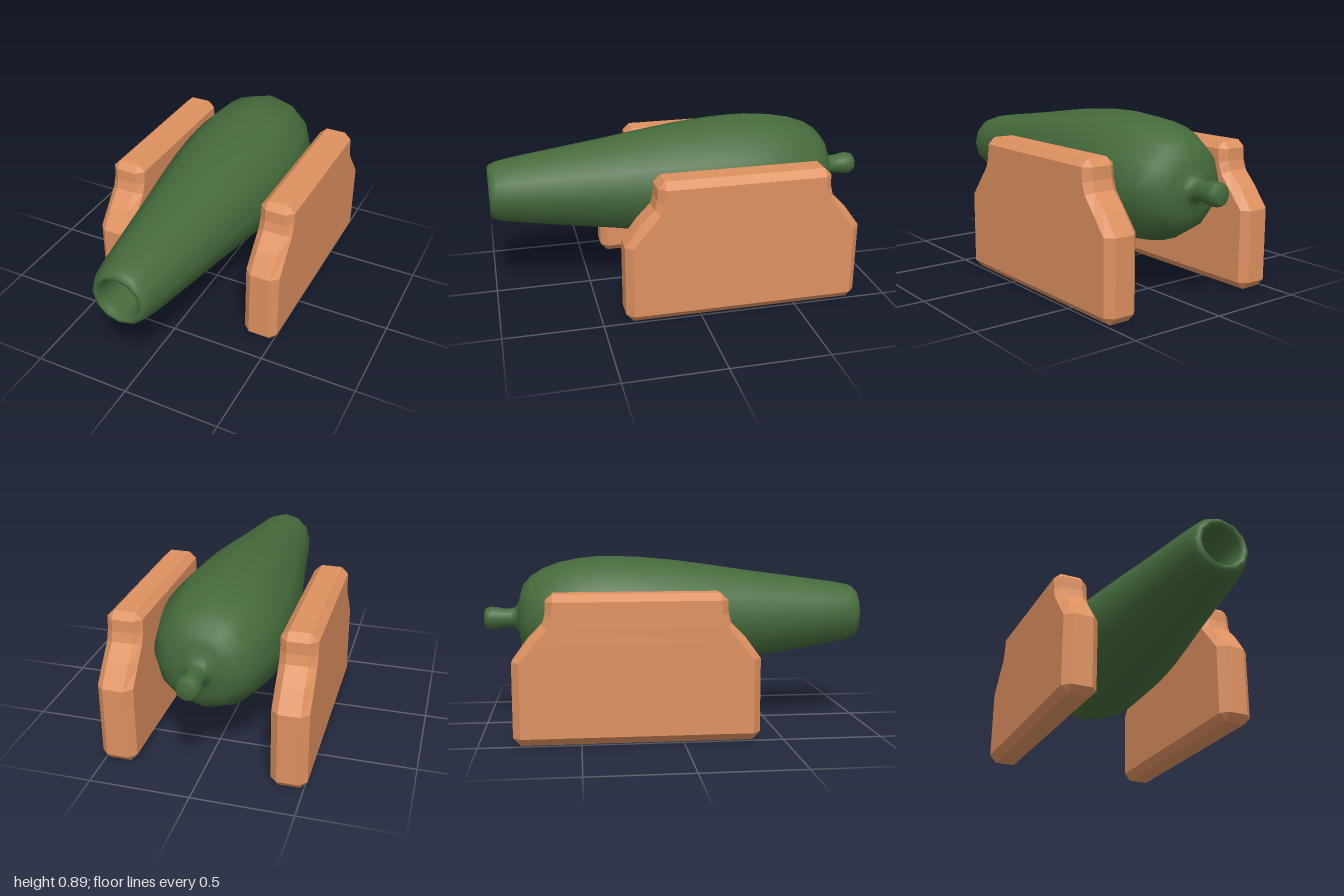
import * as THREE from 'three';

const green = new THREE.MeshStandardMaterial({ color: 0x456b3c });
const wood = new THREE.MeshStandardMaterial({ color: 0xde9160, flatShading: true });

// Barrel: one turned profile from the rear knob, over the body and into the bore [radius, z]
function makeBarrel() {
  const profile = [
    [0, -1], [0.04, -0.998], [0.054, -0.985], [0.06, -0.96], [0.058, -0.93], [0.05, -0.9],
    [0.05, -0.86], [0.056, -0.835], [0.085, -0.818], [0.13, -0.808], [0.18, -0.79],
    [0.222, -0.75], [0.26, -0.69], [0.293, -0.6], [0.313, -0.5], [0.322, -0.4], [0.322, -0.3],
    [0.317, -0.18], [0.3, 0], [0.271, 0.2], [0.239, 0.4], [0.21, 0.6], [0.181, 0.8],
    [0.165, 0.9], [0.152, 0.96], [0.142, 0.985], [0.128, 0.999], [0.115, 1], [0.103, 0.985],
    [0.099, 0.95], [0.092, 0.8], [0.082, 0.7], [0.056, 0.66], [0, 0.65],
  ].map(([r, z]) => new THREE.Vector2(r, z));
  const geometry = new THREE.LatheGeometry(profile, 12).rotateX(Math.PI / 2);

  // Raise the axis slightly towards the muzzle
  const pos = geometry.attributes.position;
  for (let i = 0; i < pos.count; i++) {
    pos.setY(i, pos.getY(i) + 0.567 + 0.008 * Math.max(0, pos.getZ(i)));
  }
  const barrel = new THREE.Mesh(geometry, green);
  barrel.name = 'barrel';
  return barrel;
}

// Carriage cheek: half outlines [half length, y], for the flat faces and the bevelled rim
const FACE = [[0.57, 0.04], [0.57, 0.04], [0.57, 0.41], [0.5, 0.495], [0.432, 0.575],
  [0.412, 0.63], [0.405, 0.7], [0.405, 0.7]];
const RIM = [[0.57, 0], [0.607, 0.04], [0.607, 0.41], [0.53, 0.515], [0.457, 0.59],
  [0.444, 0.64], [0.442, 0.7], [0.405, 0.735]];
const CENTRE_Z = -0.224;

function makeCheekGeometry() {
  const loop = (half, x) => [
    ...half.map(([w, y]) => [x, y, CENTRE_Z + w]),
    ...[...half].reverse().map(([w, y]) => [x, y, CENTRE_Z - w]),
  ];
  const loops = [loop(FACE, -0.09), loop(RIM, -0.053), loop(RIM, 0.053), loop(FACE, 0.09)];
  const verts = [];
  const quad = (a, b, c, d) => verts.push(...a, ...b, ...c, ...a, ...c, ...d);
  const n = loops[0].length;

  // Bevels and edge
  for (let k = 0; k < 3; k++) {
    for (let i = 0; i < n; i++) {
      const j = (i + 1) % n;
      quad(loops[k][i], loops[k + 1][i], loops[k + 1][j], loops[k][j]);
    }
  }
  // Flat faces, as strips from the front half to the rear half
  const [inner, , , outer] = loops;
  for (let i = 1; i < FACE.length - 2; i++) {
    const m = n - 1 - i;
    quad(outer[i], outer[m], outer[m - 1], outer[i + 1]);
    quad(inner[i], inner[i + 1], inner[m - 1], inner[m]);
  }
  const geometry = new THREE.BufferGeometry();
  geometry.setAttribute('position', new THREE.Float32BufferAttribute(verts, 3));
  geometry.computeVertexNormals();
  return geometry;
}

export function createModel() {
  const model = new THREE.Group();
  model.name = 'cannon';
  model.add(makeBarrel());

  const cheekGeometry = makeCheekGeometry();
  for (const [name, side] of [['leftCheek', 1], ['rightCheek', -1]]) {
    const cheek = new THREE.Mesh(cheekGeometry, wood);
    cheek.name = name;
    cheek.position.x = side * 0.426;
    model.add(cheek);
  }
  return model;
}
